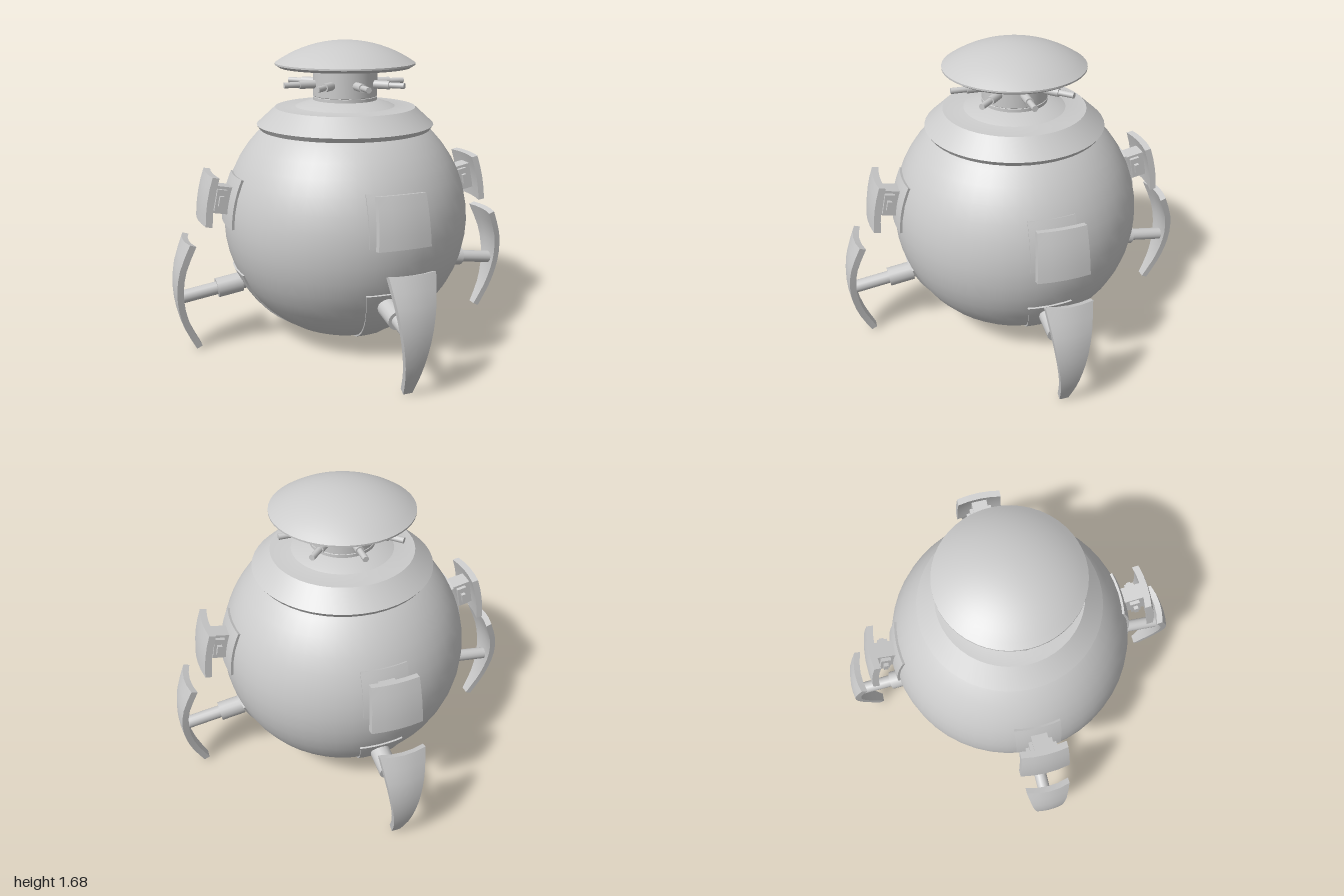
import * as THREE from 'three';
import { toCreasedNormals } from 'three/addons/utils/BufferGeometryUtils.js';

const material = new THREE.MeshStandardMaterial({ color: 0xcccccc });
const BODY_R = 0.69, BODY_Y = 0.7;

function add(parent, name, geometry, x = 0, y = 0, z = 0) {
  const mesh = new THREE.Mesh(geometry, material);
  mesh.name = name;
  mesh.position.set(x, y, z);
  parent.add(mesh);
  return mesh;
}

function lathe(points) {
  const profile = points.map(([r, y]) => new THREE.Vector2(r, y));
  return toCreasedNormals(new THREE.LatheGeometry(profile, 48), 0.4);
}

// Rod lying along +z from z0 to z1
function rod(radius, z0, z1, sides = 16) {
  return new THREE.CylinderGeometry(radius, radius, z1 - z0, sides)
    .rotateX(Math.PI / 2).translate(0, 0, (z0 + z1) / 2);
}

// Thin slab facing +z; place(u, v, depth) maps u -1..1, v 0..1, depth 0 (inner) or 1 (outer)
function slab(nu, nv, place) {
  const geometry = new THREE.BoxGeometry(1, 1, 1, nu, nv, 1);
  const p = geometry.attributes.position;
  for (let i = 0; i < p.count; i++) {
    p.setXYZ(i, ...place(p.getX(i) * 2, p.getY(i) + 0.5, p.getZ(i) + 0.5));
  }
  return toCreasedNormals(geometry, 0.4);
}

// Patch lying on the round body between two heights
function bodyPatch(y0, y1, halfWidth, raise) {
  return slab(6, 10, (u, v, depth) => {
    const x = u * halfWidth(v), y = y0 + (y1 - y0) * v;
    const dir = new THREE.Vector3(x, y - BODY_Y, 0);
    dir.z = Math.sqrt(Math.max(0.0001, BODY_R ** 2 - dir.lengthSq()));
    dir.setLength(BODY_R + (depth ? raise : -0.03));
    return [dir.x, dir.y + BODY_Y, dir.z];
  });
}

// Bowed leg blade: outer edge as [z, y], bottom to top
function legBlade() {
  const curve = new THREE.CatmullRomCurve3(
    [[0.89, 0.015], [0.95, 0.14], [0.985, 0.26], [0.998, 0.38], [0.985, 0.51], [0.935, 0.655]]
      .map(([z, y]) => new THREE.Vector3(0, y, z)));
  return slab(4, 10, (u, v, depth) => {
    const p = curve.getPoint(v), t = curve.getTangent(v);
    const inset = depth ? 0 : 0.035;
    const half = 0.025 + 0.098 * Math.pow(v, 1.1);
    const sag = 0.16 * (u * half) ** 2 / 0.12;
    return [u * half, p.y + t.z * inset, p.z - t.y * inset - sag];
  });
}

function createSide() {
  const side = new THREE.Group();

  // Upper shield with its mount
  add(side, 'shieldBasePlate', bodyPatch(0.715, 0.98, () => 0.125, 0.012));
  const shield = new THREE.Group();
  shield.name = 'shield';
  shield.position.set(0, 0.865, 0.73);
  shield.rotation.x = -0.2;
  side.add(shield);
  add(shield, 'shieldBracket', new THREE.BoxGeometry(0.09, 0.15, 0.16), 0, 0, -0.02);
  add(shield, 'bracketSidePlate', new THREE.BoxGeometry(0.13, 0.12, 0.055));
  add(shield, 'bracketPin', new THREE.BoxGeometry(0.17, 0.055, 0.025));
  add(shield, 'shieldPlate', slab(4, 4, (u, v, depth) => {
    const half = 0.139 - 0.012 * v, x = u * half;
    const bow = 0.01 * (1 - (2 * v - 1) ** 2);
    return [x, (v - 0.5) * 0.265, 0.055 + depth * 0.037 + bow - x * x * 0.8];
  }));

  // Lower leg with its telescoping arm
  add(side, 'legBasePlate', bodyPatch(0.03, 0.45, v => 0.022 + 0.1 * Math.pow(v, 0.75), 0.008));
  const arm = new THREE.Group();
  arm.name = 'legArm';
  arm.position.set(0, 0.36, 0.7);
  arm.rotation.x = 0.14;
  side.add(arm);
  add(arm, 'armRoot', rod(0.042, -0.2, -0.07));
  add(arm, 'armSleeve', rod(0.054, -0.08, 0.06));
  add(arm, 'armRod', rod(0.036, 0.05, 0.27));
  add(side, 'legBlade', legBlade());
  return side;
}

export function createModel() {
  const model = new THREE.Group();
  model.name = 'roundPod';

  // Main body, collar and neck
  add(model, 'body', new THREE.SphereGeometry(BODY_R, 48, 24), 0, BODY_Y, 0);
  add(model, 'collar', lathe([[0, 1.21], [0.475, 1.21], [0.492, 1.235], [0.39, 1.328],
    [0.25, 1.332], [0.19, 1.352], [0, 1.352]]));
  add(model, 'neck', lathe([[0, 1.34], [0.178, 1.34], [0.178, 1.384], [0.174, 1.386],
    [0.178, 1.389], [0.178, 1.55], [0, 1.55]]));

  // Domed cap
  const dome = [];
  const R = 0.677, edge = Math.asin(0.386 / R);
  for (let i = 0; i <= 10; i++) {
    const a = edge * (1 - i / 10);
    dome.push([R * Math.sin(a), 1.69 - R + R * Math.cos(a)]);
  }
  add(model, 'cap', lathe([[0, 1.545], [0.362, 1.545], [0.386, 1.56], ...dome]));

  // Ring of nozzles around the neck
  for (let i = 0; i < 8; i++) {
    const nozzle = new THREE.Group();
    nozzle.name = 'nozzle';
    nozzle.position.y = 1.456;
    nozzle.rotation.y = i * Math.PI / 4;
    add(nozzle, 'nozzleSleeve', rod(0.023, 0.14, 0.265, 12));
    add(nozzle, 'nozzleBarrel', rod(0.016, 0.25, 0.35, 12));
    model.add(nozzle);
  }

  // Four identical sides
  ['front', 'left', 'back', 'right'].forEach((name, i) => {
    const side = createSide();
    side.name = name + 'Side';
    side.rotation.y = i * Math.PI / 2;
    model.add(side);
  });
  return model;
}
